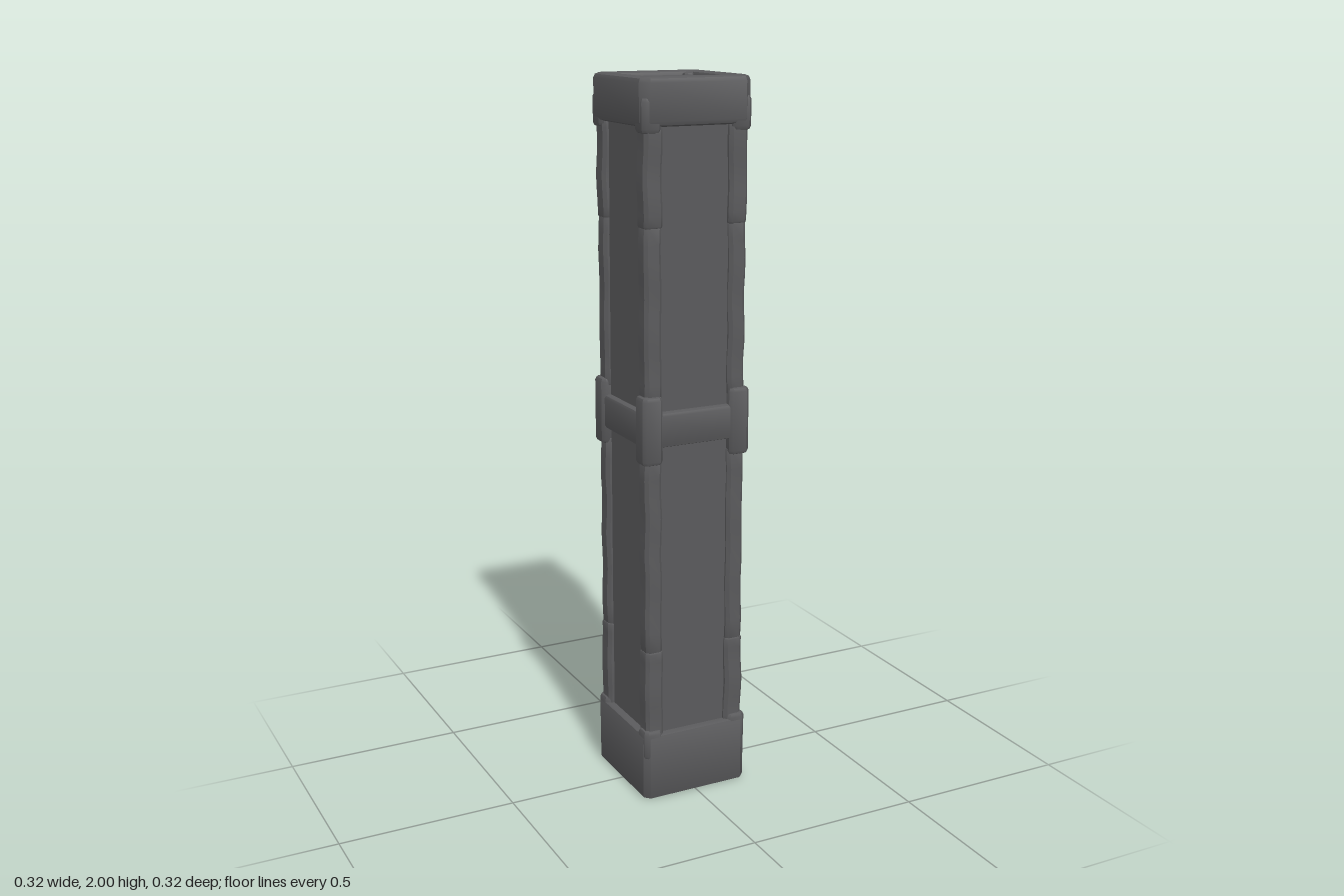
import * as THREE from 'three';
import { toCreasedNormals } from 'three/addons/utils/BufferGeometryUtils.js';

const darkStone = new THREE.MeshStandardMaterial({ color: 0x5a5a5c });

// Square outline with cut corners
function outline(half, cut, Kind = THREE.Shape) {
  const a = half, b = half - cut;
  return new Kind([[a, -b], [a, b], [b, a], [-b, a], [-a, b], [-a, -b], [-b, -a], [b, -a]]
    .map(([x, y]) => new THREE.Vector2(x, y)));
}

// Upright bevelled block with slightly worn sides
function block(name, { half, cut, y0, y1, bevel, x = 0, z = 0, steps = 1, hole = 0, wear = 0 }) {
  const shape = outline(half, cut);
  if (hole) shape.holes.push(outline(hole, 0.012, THREE.Path));
  let g = new THREE.ExtrudeGeometry(shape, {
    depth: y1 - y0 - 2 * bevel, steps, bevelEnabled: true, bevelThickness: bevel,
    bevelSize: bevel, bevelOffset: -bevel, bevelSegments: 2,
  });
  g.rotateX(-Math.PI / 2).translate(x, y0 + bevel, z);
  const p = g.attributes.position;
  for (let i = 0; i < p.count; i++) {
    const y = p.getY(i), s = Math.sign(x) * 1.7 + Math.sign(z) * 2.9;
    p.setX(i, p.getX(i) + wear * Math.sin(y * 31 + s));
    p.setZ(i, p.getZ(i) + wear * Math.sin(y * 37 + s * 2));
  }
  g = toCreasedNormals(g, 0.7);
  const mesh = new THREE.Mesh(g, darkStone);
  mesh.name = name;
  return mesh;
}

export function createModel() {
  const model = new THREE.Group();
  model.name = 'pillar';

  // Recessed shaft whose sides are the flat panels
  const shaft = new THREE.Mesh(new THREE.BoxGeometry(0.272, 1.8, 0.272), darkStone);
  shaft.name = 'shaft';
  shaft.position.y = 1.0;
  model.add(shaft);

  // Base, middle band and cap
  model.add(block('base', { half: 0.16, cut: 0.016, y0: 0, y1: 0.192, bevel: 0.008 }));
  model.add(block('middleBand', { half: 0.154, cut: 0.016, y0: 1.028, y1: 1.125, bevel: 0.01 }));
  model.add(block('capRim', { half: 0.161, cut: 0.022, y0: 1.875, y1: 2.0, bevel: 0.014, hole: 0.118 }));
  const capPanel = new THREE.Mesh(new THREE.BoxGeometry(0.25, 0.108, 0.25), darkStone);
  capPanel.name = 'capPanel';
  capPanel.position.y = 1.934;
  model.add(capPanel);

  for (const sx of [-1, 1]) for (const sz of [-1, 1]) {
    const corner = new THREE.Group();
    corner.name = 'cornerTrim';
    const at = (d) => ({ x: sx * d, z: sz * d });

    // Worn corner posts, split by shallow joints
    for (const [y0, y1, half] of [
      [0.17, 0.442, 0.027], [0.436, 1.0, 0.025], [1.15, 1.622, 0.025], [1.616, 1.89, 0.027],
    ]) {
      corner.add(block('cornerPost', {
        half, cut: 0.009, y0, y1, bevel: 0.006, steps: 10, wear: 0.0015, ...at(0.125),
      }));
    }
    // Brackets wrapping the band corners, and flares on base and cap
    corner.add(block('bandBracket', { half: 0.03, cut: 0.01, y0: 0.982, y1: 1.172, bevel: 0.012, ...at(0.131) }));
    corner.add(block('baseFlare', { half: 0.028, cut: 0.01, y0: 0.12, y1: 0.208, bevel: 0.012, ...at(0.131) }));
    corner.add(block('capFlare', { half: 0.028, cut: 0.01, y0: 1.858, y1: 1.95, bevel: 0.012, ...at(0.131) }));
    // Corner fillet of the top recess
    corner.add(block('capStud', { half: 0.014, cut: 0.007, y0: 1.96, y1: 1.995, bevel: 0.006, ...at(0.106) }));
    model.add(corner);
  }
  return model;
}
